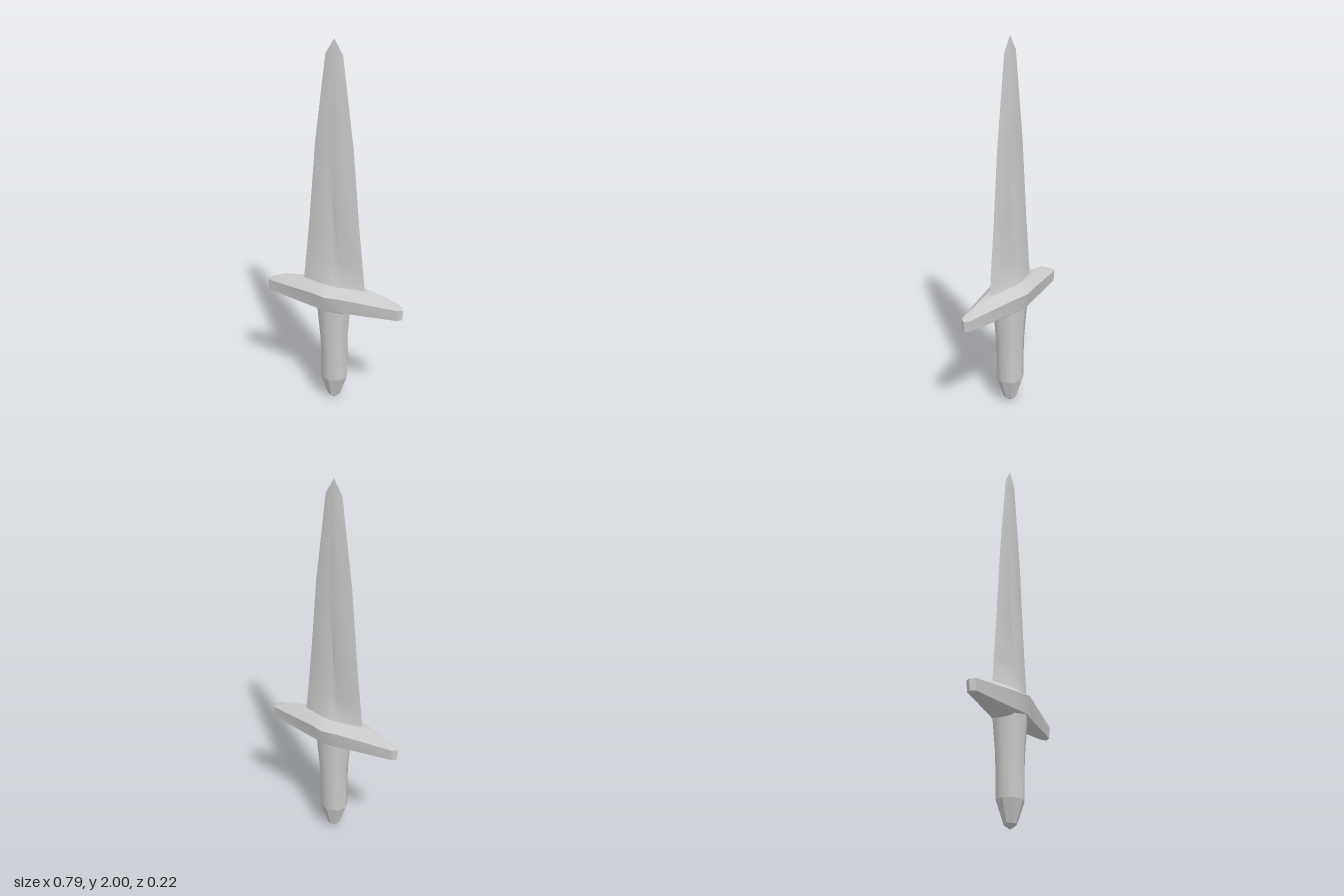
import * as THREE from 'three';
import { toCreasedNormals } from 'three/addons/utils/BufferGeometryUtils.js';

// Mirror a quarter outline (from +x round to +z) into a full ring
function ring(quarter) {
  const left = quarter.slice(0, -1).reverse().map(([x, y, z]) => [-x, y, z]);
  const half = [...quarter, ...left];
  const back = half.slice(1, -1).reverse().map(([x, y, z]) => [x, y, -z]);
  return [...half, ...back];
}

// Skin rings from bottom to top and close both ends at the given points
function loft(name, quarters, bottom, top, crease) {
  const rings = quarters.map(ring);
  const n = rings[0].length;
  const pos = [];
  const tri = (a, b, c) => {
    const [A, B, C] = [a, b, c].map((p) => new THREE.Vector3(...p));
    if (B.clone().sub(A).cross(C.clone().sub(A)).length() > 1e-9) pos.push(...a, ...b, ...c);
  };
  const last = rings[rings.length - 1];
  for (let i = 0; i < n; i++) {
    const j = (i + 1) % n;
    tri(bottom, rings[0][i], rings[0][j]);
    for (let k = 0; k < rings.length - 1; k++) {
      const lo = rings[k], hi = rings[k + 1];
      tri(lo[i], hi[i], hi[j]);
      tri(lo[i], hi[j], lo[j]);
    }
    tri(last[i], top, last[j]);
  }
  const geometry = new THREE.BufferGeometry();
  geometry.setAttribute('position', new THREE.Float32BufferAttribute(pos, 3));
  const material = new THREE.MeshStandardMaterial({ color: 0xcccccc });
  const mesh = new THREE.Mesh(toCreasedNormals(geometry, THREE.MathUtils.degToRad(crease)), material);
  mesh.name = name;
  return mesh;
}

// Eight-sided grip section
const octagon = ([y, a, b = a]) => [[a, y, 0], [a * Math.SQRT1_2, y, b * Math.SQRT1_2], [0, y, b]];

export function createModel() {
  const group = new THREE.Group();
  group.name = 'dagger';

  // Blade: [height, half width, ridge x, ridge z, groove z]
  const blade = [
    [0.66, 0.182, 0.06, 0.055, 0.06],
    [0.7, 0.177, 0.055, 0.042, 0.048],
    [0.75, 0.171, 0.045, 0.032, 0.03],
    [0.83, 0.163, 0.04, 0.022, 0.011],
    [1.05, 0.141, 0.04, 0.027, 0.01],
    [1.45, 0.108, 0.035, 0.012, 0.01],
    [1.92, 0.048, 0.012, 0.007, 0.007],
  ].map(([y, w, rx, rz, gz]) => [[w, y, 0], [rx, y, rz], [0, y, gz]]);
  group.add(loft('blade', blade, [0, 0.66, 0], [0, 2, 0], 40));

  // Guard: keeled underside, rim band, sloping top
  const guard = [
    [[0.1, 0.54, 0], [0.095, 0.542, 0.01], [0.06, 0.55, 0.05], [0, 0.555, 0.07]],
    [[0.39, 0.572, 0], [0.372, 0.575, 0.024], [0.085, 0.572, 0.075], [0, 0.572, 0.092]],
    [[0.395, 0.63, 0], [0.375, 0.635, 0.027], [0.09, 0.657, 0.09], [0, 0.66, 0.112]],
    [[0.29, 0.685, 0], [0.28, 0.683, 0.004], [0.07, 0.698, 0.042], [0, 0.7, 0.05]],
  ];
  group.add(loft('guard', guard, [0, 0.54, 0], [0, 0.7, 0], 28));

  // Grip, flaring towards the guard
  const grip = [[0.14, 0.075, 0.07], [0.37, 0.075], [0.54, 0.092, 0.087], [0.58, 0.093, 0.09]].map(octagon);
  group.add(loft('grip', grip, [0, 0.14, 0], [0, 0.58, 0], 50));

  // Tapered pommel
  const pommel = [[0.025, 0.033], [0.14, 0.075, 0.07]].map(octagon);
  group.add(loft('pommel', pommel, [0, 0, 0], [0, 0.14, 0], 30));

  return group;
}
